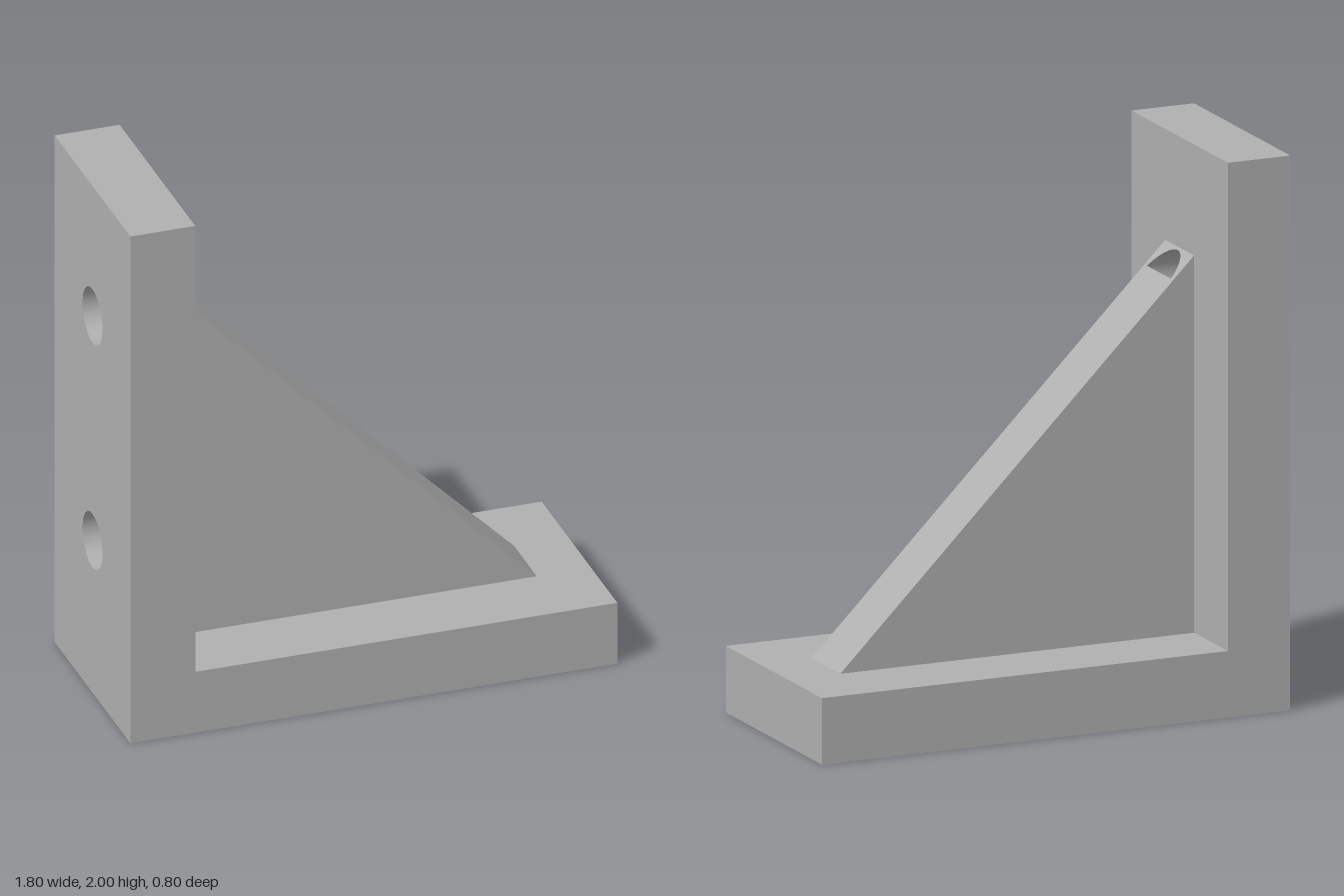
import * as THREE from 'three';
import { toCreasedNormals } from 'three/addons/utils/BufferGeometryUtils.js';

const T = 0.24;                 // plate thickness
const HALF_X = 0.9, HALF_Z = 0.4, HEIGHT = 2;
const INNER = -HALF_X + T;      // inner face of the upright plate
const RIB_Z = 0.12;             // half width of the rib
const slopeX = (y) => 0.94 - y; // sloped edge of the rib
const BORE = 0.08;              // how far the holes run on into the rib
const WALL_R = 0.105, WALL_HOLES = [0.6, 1.487];
const BASE_R = 0.087, BASE_HOLE_X = 0.375;
const SEG = 64;

const rect = (x0, y0, x1, y1) => new THREE.Shape([
  new THREE.Vector2(x0, y0), new THREE.Vector2(x1, y0),
  new THREE.Vector2(x1, y1), new THREE.Vector2(x0, y1)]);

const arc = (PathType, y, r, a0, a1) => new PathType().absarc(0, y, r, a0, a1, false);

// Plate with drilled holes, extruded by its thickness
function drilledPlate(shape, holes, r) {
  for (const [x, y] of holes) shape.holes.push(new THREE.Path().absarc(x, y, r, 0, Math.PI * 2, true));
  const geo = new THREE.ExtrudeGeometry(shape, { depth: T, bevelEnabled: false, curveSegments: SEG });
  return toCreasedNormals(geo, 0.5);
}

// Move every vertex by a rule
function remap(geo, rule) {
  const p = geo.attributes.position;
  for (let i = 0; i < p.count; i++) p.setXYZ(i, ...rule(p.getX(i), p.getY(i), p.getZ(i)));
  geo.computeVertexNormals();
  return geo;
}

export function createModel() {
  const group = new THREE.Group();
  const grey = new THREE.MeshStandardMaterial({ color: 0xb0b0b0, side: THREE.DoubleSide });
  grey.name = 'grey';
  const add = (name, geo, parent = group) => {
    const mesh = new THREE.Mesh(geo, grey);
    mesh.name = name;
    parent.add(mesh);
  };

  // Upright plate with two holes
  add('uprightPlate', drilledPlate(rect(-HALF_Z, 0, HALF_Z, HEIGHT), WALL_HOLES.map((y) => [0, y]), WALL_R)
    .rotateY(Math.PI / 2).translate(-HALF_X, 0, 0));

  // Base plate with one hole
  add('basePlate', drilledPlate(rect(INNER, -HALF_Z, HALF_X, HALF_Z), [[BASE_HOLE_X, 0]], BASE_R)
    .rotateX(-Math.PI / 2));

  // Triangular rib: two sides and a sloped face
  const rib = new THREE.Group();
  rib.name = 'rib';
  group.add(rib);
  const top = slopeX(INNER);
  const triangle = new THREE.Shape([
    new THREE.Vector2(INNER, T), new THREE.Vector2(slopeX(T), T), new THREE.Vector2(INNER, top)]);
  add('ribFront', new THREE.ShapeGeometry(triangle).translate(0, 0, RIB_Z), rib);
  add('ribBack', new THREE.ShapeGeometry(triangle).rotateY(Math.PI)
    .scale(1, 1, 1).translate(0, 0, -RIB_Z), rib);
  remap(rib.children[1].geometry, (x, y, z) => [-x, y, z]);
  const backIndex = rib.children[1].geometry.index;
  backIndex.array.reverse();
  rib.children[1].geometry.computeVertexNormals();

  // The upper hole breaks out through the sloped face
  const endX = INNER + BORE;
  const cutY = slopeX(endX);
  const upperY = WALL_HOLES[1];
  const a0 = Math.asin((cutY - upperY) / WALL_R);
  const slope = rect(-RIB_Z, T, RIB_Z, top);
  slope.holes.push(arc(THREE.Path, upperY, WALL_R, a0, Math.PI - a0));
  add('ribSlope', remap(new THREE.ShapeGeometry(slope, SEG), (u, v) => [slopeX(v), v, -u]), rib);

  // Blind ends of the wall holes inside the rib
  for (const y of WALL_HOLES) {
    const wall = new THREE.CylinderGeometry(WALL_R, WALL_R, 1, SEG * 2, 1, true)
      .rotateZ(-Math.PI / 2).translate(0, y, 0);
    add('wallBore', remap(wall, (x, py, z) => [x < 0 ? INNER : Math.min(endX, slopeX(py)), py, z]), rib);
    const open = y === upperY;
    const cap = open
      ? arc(THREE.Shape, y, WALL_R, Math.PI - a0, Math.PI * 2 + a0)
      : arc(THREE.Shape, y, WALL_R, 0, Math.PI * 2);
    add('wallBoreEnd', remap(new THREE.ShapeGeometry(cap, SEG), (u, v) => [endX, v, u]), rib);
  }

  // Blind end of the base hole inside the rib
  add('baseBore', new THREE.CylinderGeometry(BASE_R, BASE_R, BORE, SEG, 1, true)
    .translate(BASE_HOLE_X, T + BORE / 2, 0), rib);
  add('baseBoreEnd', new THREE.CircleGeometry(BASE_R, SEG).rotateX(Math.PI / 2)
    .translate(BASE_HOLE_X, T + BORE, 0), rib);

  return group;
}
